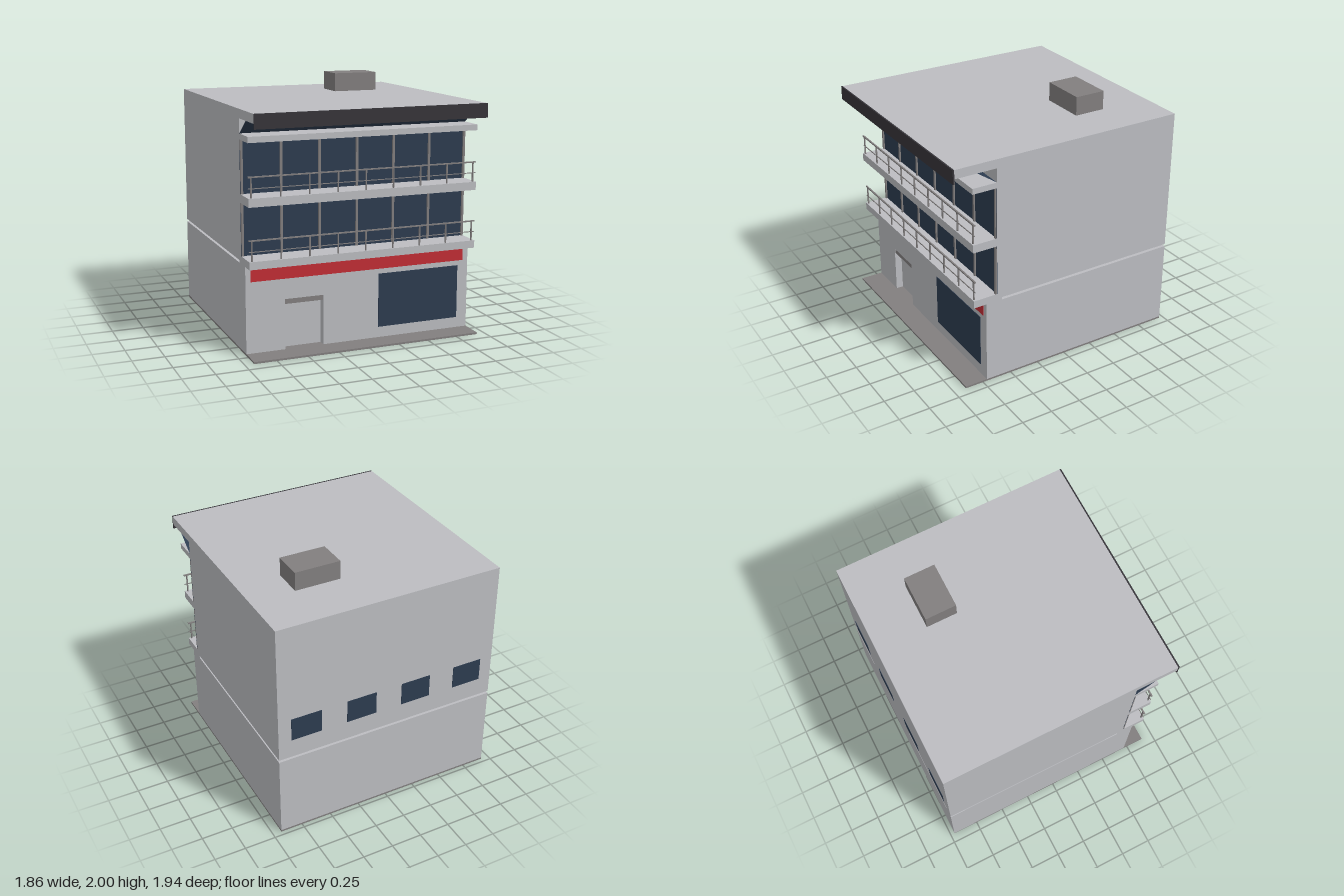
import * as THREE from 'three';

const mat = (name, color, side = THREE.FrontSide) => {
  const m = new THREE.MeshStandardMaterial({ color, side });
  m.name = name;
  return m;
};

export function createModel() {
  const model = new THREE.Group();
  model.name = 'building';
  const wall = mat('wallGrey', 0xbcbdc1);
  const metal = mat('midGrey', 0x827f7f);
  const glass = mat('glassBlue', 0x2d3c50, THREE.DoubleSide);
  const red = mat('signRed', 0xc22d35);
  const dark = mat('fasciaCharcoal', 0x37353a);
  const W = 0.93, BACK = -0.965, FRONT = 0.62, SHOP = 0.715;

  // box given by its lower and upper limits on each axis
  const box = (name, m, x0, x1, y0, y1, z0, z1, parent = model) => {
    const mesh = new THREE.Mesh(new THREE.BoxGeometry(x1 - x0, y1 - y0, z1 - z0), m);
    mesh.position.set((x0 + x1) / 2, (y0 + y1) / 2, (z0 + z1) / 2);
    mesh.name = name;
    parent.add(mesh);
    return mesh;
  };

  // ground slab and shop storey, with a recessed doorway in its front wall
  box('groundSlab', metal, -W, W, 0, 0.015, BACK, 0.9);
  const recess = 0.06;
  box('shopStorey', wall, -W, W, 0.015, 0.69, BACK, SHOP - recess);
  const face = new THREE.Shape();
  face.moveTo(-W, 0.015);
  [[-0.62, 0.015], [-0.62, 0.41], [-0.31, 0.41], [-0.31, 0.015], [W, 0.015], [W, 0.69], [-W, 0.69]]
    .forEach(([x, y]) => face.lineTo(x, y));
  const front = new THREE.Mesh(new THREE.ExtrudeGeometry(face, { depth: recess, bevelEnabled: false }), wall);
  front.position.z = SHOP - recess;
  front.name = 'shopFront';
  model.add(front);
  box('doorLintel', metal, -0.62, -0.31, 0.37, 0.41, SHOP - recess, SHOP - 0.005);
  box('shopWindow', glass, 0.15, 0.84, 0.1, 0.53, SHOP, SHOP + 0.004);
  box('signBand', red, -0.89, 0.885, 0.57, 0.665, SHOP, SHOP + 0.004);

  // upper storeys, separated from the shop by a narrow gap
  box('upperStoreys', wall, -W, W, 0.71, 1.78, BACK, FRONT);
  box('roof', wall, -W, W, 1.78, 1.85, BACK, 0.96);
  box('roofFascia', dark, -W, W, 1.74, 1.851, 0.96, 0.972);
  box('roofBox', metal, 0.2, 0.57, 1.85, 2, -0.55, -0.3);
  box('lowerBalconySlab', wall, -W, W, 0.69, 0.75, 0.58, 0.82);
  box('upperBalconySlab', wall, -W, W, 1.155, 1.22, 0.58, 0.82);
  box('canopySlab', wall, -W, W, 1.625, 1.67, 0.58, 0.82);

  // sloping glass between canopy and roof
  const slope = new THREE.Mesh(new THREE.PlaneGeometry(2 * W, Math.hypot(0.11, 0.16)), glass);
  slope.position.set(0, 1.725, 0.70);
  slope.rotation.x = Math.atan2(0.16, 0.11);
  slope.name = 'slopingGlass';
  model.add(slope);

  // glazing, mullions and railing for each balcony floor
  for (const [floor, top] of [[0.75, 1.155], [1.22, 1.625]]) {
    const g = new THREE.Group();
    g.name = 'balconyFloor';
    model.add(g);
    box('glazing', glass, -W, W, floor, top, FRONT, FRONT + 0.003, g);
    for (let i = -3; i <= 3; i++) {
      const x = i * 0.3065;
      box('mullion', metal, x - 0.009, x + 0.009, floor, top, FRONT, 0.635, g);
    }
    for (let i = -4; i <= 4; i++) {
      const x = i * 0.2265;
      box('railingPost', metal, x - 0.005, x + 0.005, floor, floor + 0.155, 0.802, 0.812, g);
    }
    box('topRail', metal, -W, W, floor + 0.15, floor + 0.16, 0.8, 0.813, g);
    box('midRail', metal, -W, W, floor + 0.067, floor + 0.073, 0.804, 0.81, g);
  }

  // rear windows
  for (const x of [-0.7, -0.235, 0.235, 0.7]) {
    box('rearWindow', glass, x - 0.125, x + 0.125, 0.865, 1.055, BACK - 0.003, BACK);
  }
  return model;
}
